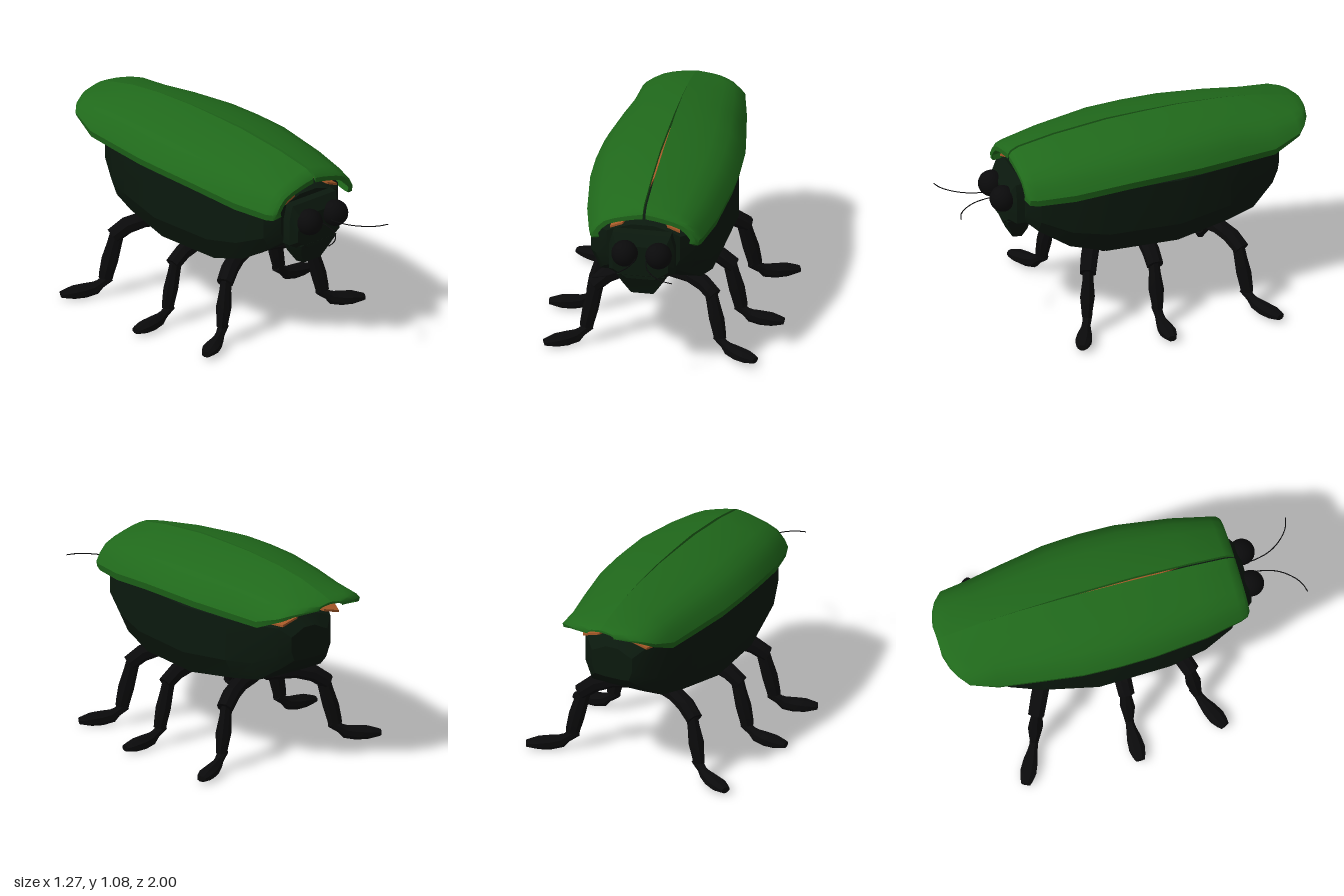
import * as THREE from 'three';
import { toCreasedNormals } from 'three/addons/utils/BufferGeometryUtils.js';

const paint = (color) => new THREE.MeshStandardMaterial({ color });
const GREEN = paint(0x20691b), BODY = paint(0x0b190e), BLACK = paint(0x0a0a0b), AMBER = paint(0xa85a28);

// Skins closed rings of equal, even point count; end caps join point i to point n-1-i.
function loft(rings, crease) {
  const n = rings[0].length, pos = [], idx = [];
  rings.forEach((r) => r.forEach((p) => pos.push(...p)));
  const quad = (a, b, c, d) => idx.push(a, b, c, a, c, d);
  for (let s = 0; s < rings.length - 1; s++)
    for (let i = 0; i < n; i++) {
      const j = (i + 1) % n, a = s * n, b = a + n;
      quad(a + i, a + j, b + j, b + i);
    }
  const end = (rings.length - 1) * n;
  for (let i = 0; i < n / 2 - 1; i++) {
    quad(i, n - 1 - i, n - 2 - i, i + 1);
    quad(end + i, end + i + 1, end + n - 2 - i, end + n - 1 - i);
  }
  // Turn the faces outward if the enclosed volume is negative.
  const at = (i) => new THREE.Vector3().fromArray(pos, i * 3);
  let volume = 0;
  for (let t = 0; t < idx.length; t += 3) volume += at(idx[t]).dot(at(idx[t + 1]).cross(at(idx[t + 2])));
  if (volume < 0) idx.reverse();
  const geo = new THREE.BufferGeometry();
  geo.setAttribute('position', new THREE.Float32BufferAttribute(pos, 3));
  geo.setIndex(idx);
  return toCreasedNormals(geo, crease);
}

function add(parent, name, geo, mat) {
  const mesh = new THREE.Mesh(geo, mat);
  mesh.name = name;
  parent.add(mesh);
  return mesh;
}

// Completes a right-hand outline [x, y] with its mirror image at depth z.
const symmetric = (half, z) => [
  ...half.map(([x, y]) => [x, y, z]),
  ...half.slice().reverse().map(([x, y]) => [-x, y, z]),
];

function bodyGeometry() {
  // z, half width, bottom, top
  const stations = [
    [0.62, 0.2, 0.62, 0.87], [0.56, 0.27, 0.575, 0.89], [0.4, 0.325, 0.48, 0.92], [0.2, 0.352, 0.427, 0.93],
    [-0.2, 0.362, 0.427, 0.93], [-0.5, 0.305, 0.47, 0.91], [-0.66, 0.25, 0.495, 0.89],
    [-0.79, 0.175, 0.585, 0.865], [-0.836, 0.12, 0.63, 0.81],
  ];
  return loft(stations.map(([z, w, b, t]) => {
    const low = b + (0.8 - b) * 0.35, high = Math.min(0.82, t - 0.04);
    return symmetric([[w * 0.4, b], [w * 0.84, b + 0.005], [w, low], [w, high], [w * 0.8, t - 0.03], [w * 0.3, t]], z);
  }), 0.4);
}

// One wing case: an arched, thin shell reaching from the seam to the outer rim.
function wingCaseGeometry() {
  // z, crown height, half width, rim height
  const stations = [
    [0.655, 0.95, 0.275, 0.8], [0.64, 0.972, 0.295, 0.785], [0.6, 0.992, 0.308, 0.778], [0.4, 1.03, 0.352, 0.79],
    [0.1, 1.065, 0.388, 0.828], [-0.1, 1.073, 0.392, 0.838], [-0.3, 1.078, 0.383, 0.84], [-0.55, 1.07, 0.345, 0.84],
    [-0.75, 1.05, 0.312, 0.84], [-0.9, 1.02, 0.277, 0.905], [-0.95, 1.008, 0.222, 0.935],
    [-0.98, 1, 0.165, 0.948], [-1, 0.99, 0.09, 0.955],
  ];
  const arch = [[0, 1], [0.18, 0.95], [0.36, 0.88], [0.58, 0.78], [0.78, 0.64], [0.92, 0.4], [1, 0.17], [0.975, 0]];
  return loft(stations.map(([z, top, w, rim]) => {
    const gap = 0.008 * THREE.MathUtils.clamp((z + 0.62) / 0.7, 0, 1);
    const thick = z < -0.9 ? 0.012 : 0.026;
    const outer = arch.map(([x, y]) => [gap + (w - gap) * x, rim + (top - rim) * y, z]);
    const inner = arch.map(([x, y]) => [gap + (w - thick - gap) * x, rim + (top - thick - rim) * y, z]);
    return [...outer, ...inner.reverse()];
  }), 0.6);
}

// Thin folded flight wing lying between body and wing case.
function flightWingGeometry() {
  // z, inner x, outer x, height
  const stations = [
    [0.63, 0.12, 0.19, 0.885], [0.4, 0.04, 0.15, 0.94], [0, 0.004, 0.16, 0.955],
    [-0.4, 0.004, 0.22, 0.925], [-0.7, 0.05, 0.25, 0.888], [-0.83, 0.09, 0.19, 0.88],
  ];
  return loft(stations.map(([z, a, b, y]) =>
    [[a, y, z], [b, y - 0.028, z], [b, y - 0.04, z], [a, y - 0.012, z]]), 0.3);
}

// Leg section along a path of [outward, height, half breadth, half thickness], eight-sided.
function limbGeometry(path) {
  return loft(path.map(([u, y, breadth, thick], i) => {
    const p = path[Math.max(i - 1, 0)], q = path[Math.min(i + 1, path.length - 1)];
    const len = Math.hypot(q[0] - p[0], q[1] - p[1]);
    const nx = -(q[1] - p[1]) / len, ny = (q[0] - p[0]) / len;
    return Array.from({ length: 8 }, (_, k) => {
      const a = ((k + 0.5) * Math.PI) / 4, c = Math.cos(a) * 1.08 * thick, s = Math.sin(a) * 1.08 * breadth;
      return [u + nx * c, y + ny * c, s];
    });
  }), 0.5);
}

function makeLeg(name) {
  const leg = new THREE.Group();
  leg.name = name;
  add(leg, 'thigh', limbGeometry([
    [0, 0.415, 0.025, 0.014], [0.05, 0.408, 0.042, 0.038], [0.2, 0.412, 0.044, 0.04], [0.29, 0.388, 0.044, 0.042], [0.365, 0.335, 0.042, 0.038],
  ]), BLACK);
  add(leg, 'shin', limbGeometry([
    [0.34, 0.355, 0.027, 0.034], [0.356, 0.29, 0.028, 0.036], [0.38, 0.2, 0.038, 0.04], [0.398, 0.12, 0.028, 0.036], [0.402, 0.095, 0.026, 0.034],
  ]), BLACK);
  add(leg, 'foot', limbGeometry([
    [0.38, 0.1, 0.026, 0.024], [0.43, 0.065, 0.022, 0.024], [0.455, 0.045, 0.026, 0.034],
    [0.51, 0.036, 0.038, 0.036], [0.57, 0.033, 0.043, 0.032], [0.61, 0.03, 0.034, 0.022], [0.635, 0.028, 0.024, 0.016],
  ]), BLACK);
  return leg;
}

function makeHead() {
  const head = new THREE.Group();
  head.name = 'head';
  const face = (w, b, t) => [[w * 0.5, b], [w, b + 0.05], [w, t - 0.08], [w * 0.88, t]];
  add(head, 'skull', loft([
    symmetric(face(0.18, 0.57, 0.85), 0.56), symmetric(face(0.178, 0.57, 0.84), 0.665), symmetric(face(0.15, 0.59, 0.78), 0.702),
  ], 0.3), BODY);
  // Jaw narrows downward: height, half width, back z, front z
  const jaw = [[0.61, 0.15, 0.58, 0.703], [0.55, 0.12, 0.585, 0.675], [0.48, 0.07, 0.6, 0.648]];
  add(head, 'jaw', loft(jaw.map(([y, w, back, front]) =>
    [[w, y, back], [w * 0.85, y, front], [-w * 0.85, y, front], [-w, y, back]]), 0.3), BODY);
  for (const side of [-1, 1]) {
    const eye = add(head, 'eye', new THREE.SphereGeometry(0.071, 28, 20), BLACK);
    eye.position.set(0.01 + side * 0.092, 0.745, 0.718);
    const curve = new THREE.CatmullRomCurve3(
      [[0.03, 0.69], [0.034, 0.78], [0.06, 0.87], [0.11, 0.94], [0.165, 0.982], [0.217, 0.998]]
        .map(([x, z]) => new THREE.Vector3(0.012 + side * x, 0.73, z)));
    add(head, 'antenna', new THREE.TubeGeometry(curve, 24, 0.003, 6), BLACK);
  }
  return head;
}

export function createModel() {
  const model = new THREE.Group();
  model.name = 'beetle';
  add(model, 'body', bodyGeometry(), BODY);
  model.add(makeHead());
  // The closed wings sit very slightly askew on the back.
  const wings = new THREE.Group();
  wings.name = 'wings';
  wings.rotation.y = 0.018;
  model.add(wings);
  const wingCase = wingCaseGeometry(), flightWing = flightWingGeometry();
  // Paired parts; the right side mirrors the left.
  for (const [side, label] of [[1, 'left'], [-1, 'right']]) {
    add(wings, label + 'WingCase', wingCase, GREEN).scale.x = side;
    add(wings, label + 'FlightWing', flightWing, AMBER).scale.x = side;
    const legs = new THREE.Group();
    legs.name = label + 'Legs';
    legs.scale.x = side;
    for (const [name, z, angle, size] of [['Front', 0.16, -0.45, 1], ['Middle', -0.05, 0, 1], ['Rear', -0.37, 0.47, 1.06]]) {
      const leg = makeLeg(label + name + 'Leg');
      leg.position.z = z;
      leg.rotation.y = angle;
      leg.scale.x = size;
      legs.add(leg);
    }
    model.add(legs);
  }
  return model;
}
